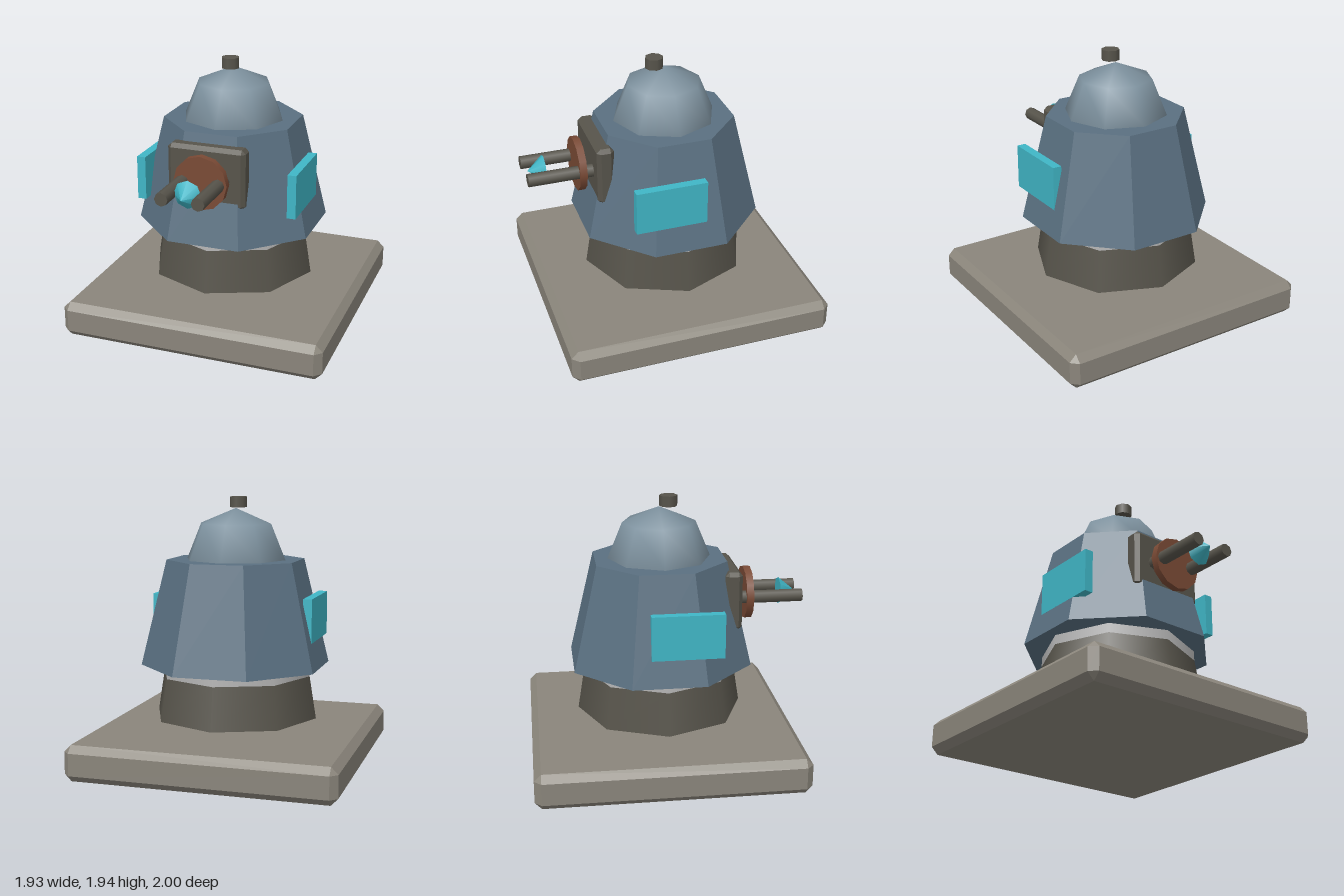
import * as THREE from 'three';
import { ConvexGeometry } from 'three/addons/geometries/ConvexGeometry.js';

const AXIS_Z = -0.035; // vertical axis of the turret

const paint = (color, flatShading = false) => {
  const m = new THREE.MeshStandardMaterial({ color });
  m.flatShading = flatShading;
  return m;
};

// Box with every edge cut by a chamfer c
function chamferBox(w, h, d, c) {
  const half = [w / 2, h / 2, d / 2];
  const points = [];
  for (const sx of [-1, 1]) for (const sy of [-1, 1]) for (const sz of [-1, 1]) {
    for (let full = 0; full < 3; full++) {
      const [x, y, z] = half.map((v, i) => (i === full ? v : v - c));
      points.push(new THREE.Vector3(sx * x, sy * y, sz * z));
    }
  }
  return new ConvexGeometry(points);
}

// Upright cylinder or frustum between two heights
function drum(rTop, rBottom, y0, y1, sides = 8) {
  return new THREE.CylinderGeometry(rTop, rBottom, y1 - y0, sides).translate(0, (y0 + y1) / 2, 0);
}

// Cylinder or cone lying along z between two depths
function rod(rFront, rBack, z0, z1, sides) {
  return new THREE.CylinderGeometry(rFront, rBack, z1 - z0, sides)
    .rotateX(Math.PI / 2).translate(0, 0, (z0 + z1) / 2);
}

export function createModel() {
  const model = new THREE.Group();
  const stone = paint(0x8a857b, true);
  const iron = paint(0x57544b);
  const ironFlat = paint(0x57544b, true);
  const armour = paint(0x5a7081, true);
  const domeBlue = paint(0x7d919e);
  const cyan = paint(0x40b6c6);
  const rust = paint(0x7a4a35);
  const silver = paint(0xb8b8b8);

  const add = (name, geometry, material, x = 0, y = 0, z = 0) => {
    const mesh = new THREE.Mesh(geometry, material);
    mesh.name = name;
    mesh.position.set(x, y, z);
    model.add(mesh);
    return mesh;
  };

  // Slab and pedestal
  add('baseSlab', chamferBox(1.93, 0.26, 1.93, 0.05), stone, 0, 0.13, AXIS_Z);
  add('pedestal', drum(0.56, 0.61, 0.34, 0.65), iron, 0, 0, AXIS_Z);
  add('swivelRing', drum(0.56, 0.56, 0.65, 0.74), silver, 0, 0, AXIS_Z);

  // Tapered octagonal body, a flat side facing forward
  add('turretBody', drum(0.505, 0.695, 0.72, 1.49).rotateY(Math.PI / 8), armour, 0, 0, AXIS_Z);

  // Dome and the cap above it
  add('dome', new THREE.SphereGeometry(0.375, 8, 2, 0, Math.PI * 2, 0, Math.PI / 2), domeBlue, 0, 1.485, AXIS_Z);
  add('domeCap', drum(0.065, 0.065, 1.863, 1.94), iron, 0, 0, 0.033);

  // Gun mount
  add('gunMount', chamferBox(0.57, 0.435, 0.125, 0.028), ironFlat, 0, 1.207, 0.472);
  add('gunDisc', rod(0.195, 0.195, 0.585, 0.637, 12), rust, 0, 1.197, 0);
  add('muzzleCone', rod(0, 0.1, 0.855, 0.975, 8), cyan, 0, 1.197, 0);

  // Mirrored barrels and side panels
  for (const [side, s] of [['left', 1], ['right', -1]]) {
    add(side + 'Barrel', rod(0.048, 0.048, 0.5, 1, 8), iron, s * 0.13, 1.197, 0);
    add(side + 'Panel', new THREE.BoxGeometry(0.064, 0.32, 0.515), cyan, s * 0.567, 1.07, 0.097);
  }
  return model;
}
